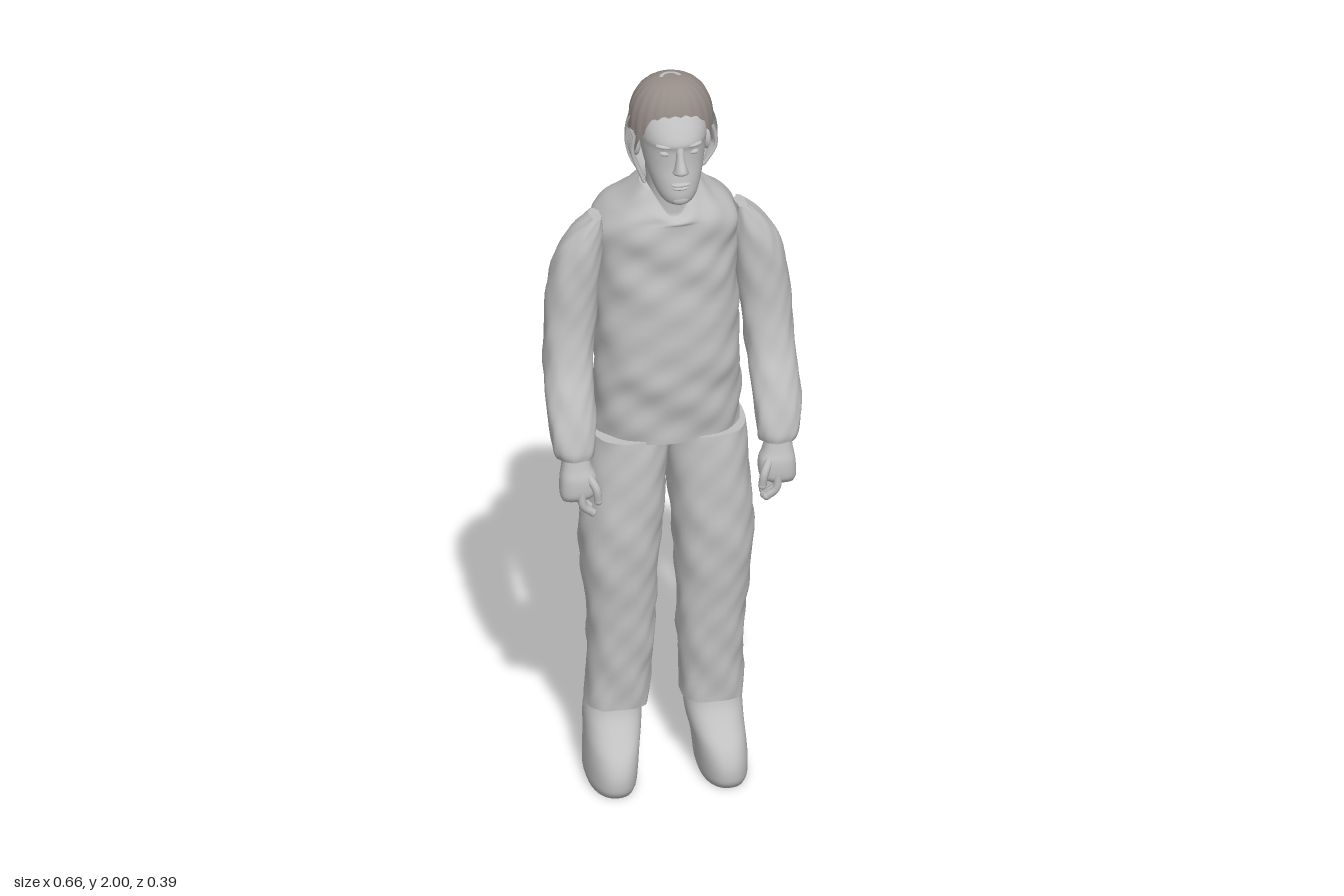
import * as THREE from 'three';

const grey = new THREE.MeshStandardMaterial({ color: 0xc0c0c0, side: THREE.DoubleSide });
grey.name = 'light grey';
const brown = new THREE.MeshStandardMaterial({ color: 0x958c87, side: THREE.DoubleSide });
brown.name = 'hair brown';

// Smooth surface from point(u, v); u runs around, v runs upward
function surface(point, nu, nv, closed = true) {
  const pos = [], index = [], cols = closed ? nu : nu + 1;
  for (let j = 0; j <= nv; j++)
    for (let i = 0; i < cols; i++) pos.push(...point(i / nu, j / nv));
  for (let j = 0; j < nv; j++)
    for (let i = 0; i < nu; i++) {
      const a = j * cols + i, b = j * cols + (i + 1) % cols;
      index.push(a, a + cols, b, b, a + cols, b + cols);
    }
  const g = new THREE.BufferGeometry();
  g.setAttribute('position', new THREE.Float32BufferAttribute(pos, 3));
  g.setIndex(index);
  g.computeVertexNormals();
  return g;
}

// Loft through rows [y, x0, x1, z0, z1], blended by a spline, with flat caps
function loft(rows, { n = 36, steps = 5, power = 2.3, warp = null } = {}) {
  const blend = (t) => {
    const k = Math.min(Math.floor(t), rows.length - 2), f = t - k;
    const at = (i) => rows[Math.min(Math.max(i, 0), rows.length - 1)];
    return rows[0].map((_, c) => {
      const [p, q, r, s] = [at(k - 1)[c], at(k)[c], at(k + 1)[c], at(k + 2)[c]];
      return q + 0.5 * f * (r - p + f * (2 * p - 5 * q + 4 * r - s + f * (3 * (q - r) + s - p)));
    });
  };
  const flat = ([y, x0, x1, z0, z1]) => [y, (x0 + x1) / 2, (x0 + x1) / 2, (z0 + z1) / 2, (z0 + z1) / 2];
  const rings = [];
  const count = (rows.length - 1) * steps;
  for (let i = 0; i <= count; i++) rings.push(blend(i / steps));
  const first = rings[0], last = rings[count];
  rings.unshift(flat(first), first);
  rings.push(last, flat(last));
  const curve = (v) => Math.sign(v) * Math.abs(v) ** (2 / power);
  return surface((u, v) => {
    const [y, x0, x1, z0, z1] = rings[Math.round(v * (rings.length - 1))];
    const a = u * Math.PI * 2, c = curve(Math.cos(a)), s = curve(Math.sin(a));
    const p = [(x0 + x1) / 2 + c * (x1 - x0) / 2, y, (z0 + z1) / 2 + s * (z1 - z0) / 2];
    return warp ? warp(p, a) : p;
  }, n, rings.length - 1);
}

// Gentle cloth creases
const crease = (amount) => ([x, y, z], a) => {
  const w = amount * (Math.sin(y * 47 + 3 * Math.sin(a * 2)) + Math.sin(y * 31 - a * 5) + 0.7 * Math.sin(a * 9 + y * 70));
  return [x + w * Math.cos(a), y, z + w * Math.sin(a)];
};

// Mirror rows for the right side; the right foot stands a little wider
const sided = (rows, side, lean = 0) => side > 0 ? rows : rows.map(([y, x0, x1, z0, z1]) => {
  const d = lean * Math.max(0, 1 - y);
  return [y, -x1 - d, -x0 - d, z0, z1];
});

function add(parent, name, geometry, material = grey) {
  const m = new THREE.Mesh(geometry, material);
  m.name = name;
  parent.add(m);
  return m;
}

function ball(parent, name, [x, y, z], [rx, ry, rz], material = grey) {
  const m = add(parent, name, new THREE.SphereGeometry(1, 18, 12), material);
  m.position.set(x, y, z);
  m.scale.set(rx, ry, rz);
  return m;
}

function finger(parent, name, points, r) {
  const path = new THREE.CatmullRomCurve3(points.map((p) => new THREE.Vector3(...p)));
  add(parent, name, new THREE.TubeGeometry(path, 8, r, 8));
  ball(parent, name + 'Tip', points[points.length - 1], [r, r, r]);
}

function buildHead() {
  const head = new THREE.Group();
  head.name = 'head';
  add(head, 'neck', loft([[1.58, -.06, .065, -.05, .08], [1.66, -.058, .062, -.05, .08], [1.76, -.058, .062, -.05, .09]]));
  add(head, 'face', loft([
    [1.692, -.018, .022, .11, .157], [1.703, -.038, .042, .08, .172], [1.725, -.053, .057, .04, .178],
    [1.76, -.066, .07, 0, .174], [1.8, -.076, .08, -.03, .166], [1.845, -.083, .087, -.05, .164],
    [1.87, -.085, .089, -.052, .167], [1.91, -.084, .088, -.05, .142], [1.95, -.068, .072, -.03, .108],
    [1.98, -.035, .039, 0, .07]], { power: 2.1 }));

  // Nose, brow, eyes, lips and ears
  add(head, 'nose', loft([[1.785, -.012, .016, .15, .178], [1.793, -.019, .023, .15, .193],
    [1.803, -.015, .019, .15, .2], [1.83, -.009, .013, .15, .182], [1.86, -.008, .012, .15, .168]], { n: 16, power: 2 }));
  ball(head, 'upperLip', [.002, 1.758, .171], [.026, .006, .012]);
  ball(head, 'lowerLip', [.002, 1.748, .17], [.022, .006, .012]);
  ball(head, 'chin', [.002, 1.713, .165], [.024, .016, .013]);
  for (const s of [-1, 1]) {
    ball(head, 'eye', [.002 + s * .035, 1.84, .148], [.016, .008, .012]);
    ball(head, 'brow', [.002 + s * .036, 1.861, .148], [.026, .007, .015]).rotation.set(0, s * .35, 0);
    ball(head, 'ear', [.002 + s * .092, 1.82, .045], [.012, .033, .02]);
  }

  // Rounded shell behind the head, open to the front
  add(head, 'backOfHead', surface((u, v) => {
    const a = Math.PI * (1 + u), y = 1.7 + .265 * v, t = (y - 1.835) / .138;
    const r = .12 * Math.max(.55, Math.sqrt(Math.max(0, 1 - t * t)));
    return [.003 + r * Math.cos(a), y, .042 + r * .97 * Math.sin(a)];
  }, 32, 16, false));

  // Cap of hair with a ragged edge, high on the forehead and low at the temples
  add(head, 'hair', surface((u, v) => {
    const a = u * Math.PI * 2, s = Math.sin(a);
    const side = Math.exp(-(((s - .3) / .42) ** 2));
    const low = (s > 0 ? 1.925 : 1.915) - .11 * side + .006 * Math.sin(a * 13);
    const t = Math.sin(v * Math.PI / 2), y = low + (2 - low) * t;
    const h = Math.max(0, (y - 1.86) / .14);
    const r = Math.max(0, 1 - h ** 2.5) ** (1 / 2.5) * (1 + .012 * Math.sin(a * 22));
    return [.003 + .109 * r * Math.cos(a), y, .033 + .101 * r * s];
  }, 96, 20), brown);

  // Loose locks beside the face and a thin crescent on the crown
  for (const s of [-1, 1])
    for (let i = 0; i < 4; i++)
      finger(head, 'lock', [[s * .104, 1.87, .055 + i * .014], [s * .108, 1.82, .057 + i * .012],
        [s * (.09 - i * .004), 1.77 - (s < 0 ? .012 * i : 0), .06 + i * .011]], .005);
  const crown = add(head, 'crownPatch', new THREE.RingGeometry(.02, .029, 24, 1, .2, Math.PI - .4));
  crown.rotation.x = -Math.PI / 2;
  crown.position.set(.002, 2, .04);
  return head;
}

function buildLimbs(side) {
  const limbs = new THREE.Group();
  limbs.name = side > 0 ? 'leftLimbs' : 'rightLimbs';
  add(limbs, 'sleeve', loft(sided([
    [.975, .215, .31, .083, .165], [1.0, .21, .32, .078, .167], [1.06, .206, .327, .05, .152],
    [1.13, .203, .328, 0, .125], [1.2, .199, .325, -.04, .095], [1.3, .19, .32, -.055, .072],
    [1.4, .18, .312, -.06, .068], [1.5, .172, .288, -.055, .065], [1.56, .171, .25, -.045, .056],
    [1.605, .175, .203, -.025, .045]], side), { warp: crease(.0012) }));

  // Hand with a thumb and curled fingers
  const hand = new THREE.Group();
  hand.name = 'hand';
  limbs.add(hand);
  add(hand, 'palm', loft(sided([[.862, .235, .3, .12, .165], [.88, .212, .306, .105, .176], [.92, .21, .305, .1, .175],
    [.95, .222, .3, .1, .165], [.99, .232, .295, .1, .155]], side), { n: 20, power: 2.6 }));
  for (let i = 0; i < 4; i++)
    finger(hand, 'finger', [[side * .255, .89, .112 + i * .019], [side * .25, .85, .113 + i * .019],
      [side * .226, .815 + Math.abs(i - 1) * .006, .116 + i * .016]], .0105);
  finger(hand, 'thumb', [[side * .235, .93, .16], [side * .218, .9, .178], [side * .213, .865, .176]], .011);

  add(limbs, 'trouserLeg', loft(sided([
    [.205, .03, .193, -.06, .095], [.3, .028, .19, -.062, .1], [.4, .022, .192, -.06, .108],
    [.5, .022, .2, -.065, .113], [.6, .018, .213, -.092, .122], [.7, .012, .219, -.108, .124],
    [.8, .004, .213, -.122, .12], [.9, .001, .206, -.132, .113], [.98, 0, .203, -.136, .103]], side, .03),
  { power: 2.5, warp: crease(.0016) }));

  add(limbs, 'shoe', loft(sided([
    [0, .07, .184, -.066, .182], [.02, .064, .19, -.078, .194], [.06, .06, .191, -.086, .192],
    [.1, .055, .19, -.086, .17], [.14, .046, .19, -.08, .125], [.18, .042, .19, -.07, .09],
    [.222, .045, .185, -.055, .075]], side, .035)));
  return limbs;
}

export function createModel() {
  const model = new THREE.Group();
  model.name = 'standingMan';

  // Jacket with a notched neckline
  const folds = crease(.0022);
  add(model, 'jacket', loft([
    [.972, -.183, .19, -.142, .105], [1.1, -.184, .19, -.158, .117], [1.2, -.182, .189, -.168, .125],
    [1.4, -.18, .184, -.173, .117], [1.5, -.182, .187, -.179, .112], [1.565, -.186, .192, -.192, .111],
    [1.61, -.16, .166, -.168, .106], [1.65, -.115, .121, -.12, .095], [1.693, -.075, .08, -.073, .072]],
  { n: 72, steps: 8, warp: (p, a) => {
    const [x, y, z] = folds(p, a);
    const notch = Math.max(0, Math.sin(a)) ** 6 * Math.max(0, (y - 1.6) / .093);
    return [x, y - .07 * notch, z + .02 * notch];
  } }));

  model.add(buildHead(), buildLimbs(1), buildLimbs(-1));
  return model;
}
